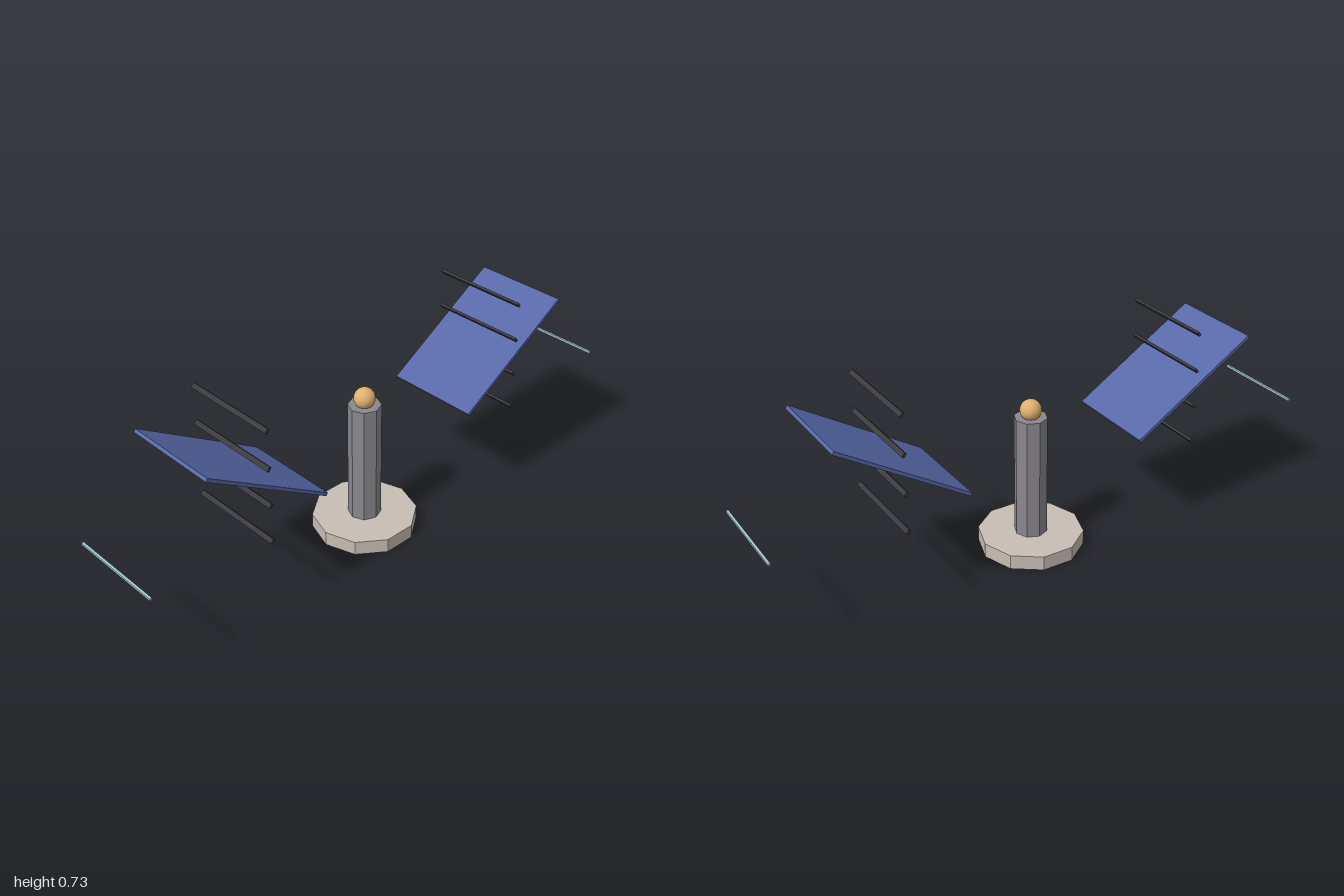
import * as THREE from 'three';

const mat = (color, flatShading = true) =>
  new THREE.MeshStandardMaterial({ color, flatShading });

function part(parent, name, geometry, material, x, y, z) {
  const mesh = new THREE.Mesh(geometry, material);
  mesh.name = name;
  mesh.position.set(x, y, z);
  parent.add(mesh);
  return mesh;
}

export function createModel() {
  const model = new THREE.Group();
  const stone = mat(0xc8beb4);
  const column = mat(0x8a888c);
  const lamp = mat(0xe0b070, false);
  const blue = mat(0x5868a8);
  const dark = mat(0x3c3c40);
  const glass = mat(0xa8ccd4);

  // Central post: ten-sided foot, octagonal column, ball on top
  part(model, 'base', new THREE.CylinderGeometry(0.183, 0.183, 0.052, 10), stone, 0, 0.026, 0);
  part(model, 'column', new THREE.CylinderGeometry(0.057, 0.057, 0.438, 8), column, 0, 0.271, 0);
  part(model, 'ball', new THREE.SphereGeometry(0.037, 24, 16), lamp, 0, 0.515, 0);

  const panelGeometry = new THREE.BoxGeometry(0.346, 0.012, 0.526);
  const slatGeometry = new THREE.BoxGeometry(0.349, 0.009, 0.017);
  const barGeometry = new THREE.BoxGeometry(0.346, 0.008, 0.008);

  // Matching front and back wings, the back one turned half round
  for (const side of ['front', 'back']) {
    const wing = new THREE.Group();
    wing.name = side + 'Wing';
    if (side === 'back') wing.rotation.y = Math.PI;
    model.add(wing);

    // Panel rising outward
    const panel = part(wing, side + 'Panel', panelGeometry, blue, 0, 0.521, 0.549);
    panel.rotation.x = -THREE.MathUtils.degToRad(32);

    // Four louvre slats, their broad faces looking up and outward
    for (let i = 0; i < 4; i++) {
      const slat = part(wing, side + 'Slat', slatGeometry, dark, 0, 0.319 + i * 0.1343, 0.55);
      slat.rotation.x = THREE.MathUtils.degToRad(52);
    }

    // Thin outer bar
    part(wing, side + 'OuterBar', barGeometry, glass, 0, 0.359, 0.996);
  }
  return model;
}
